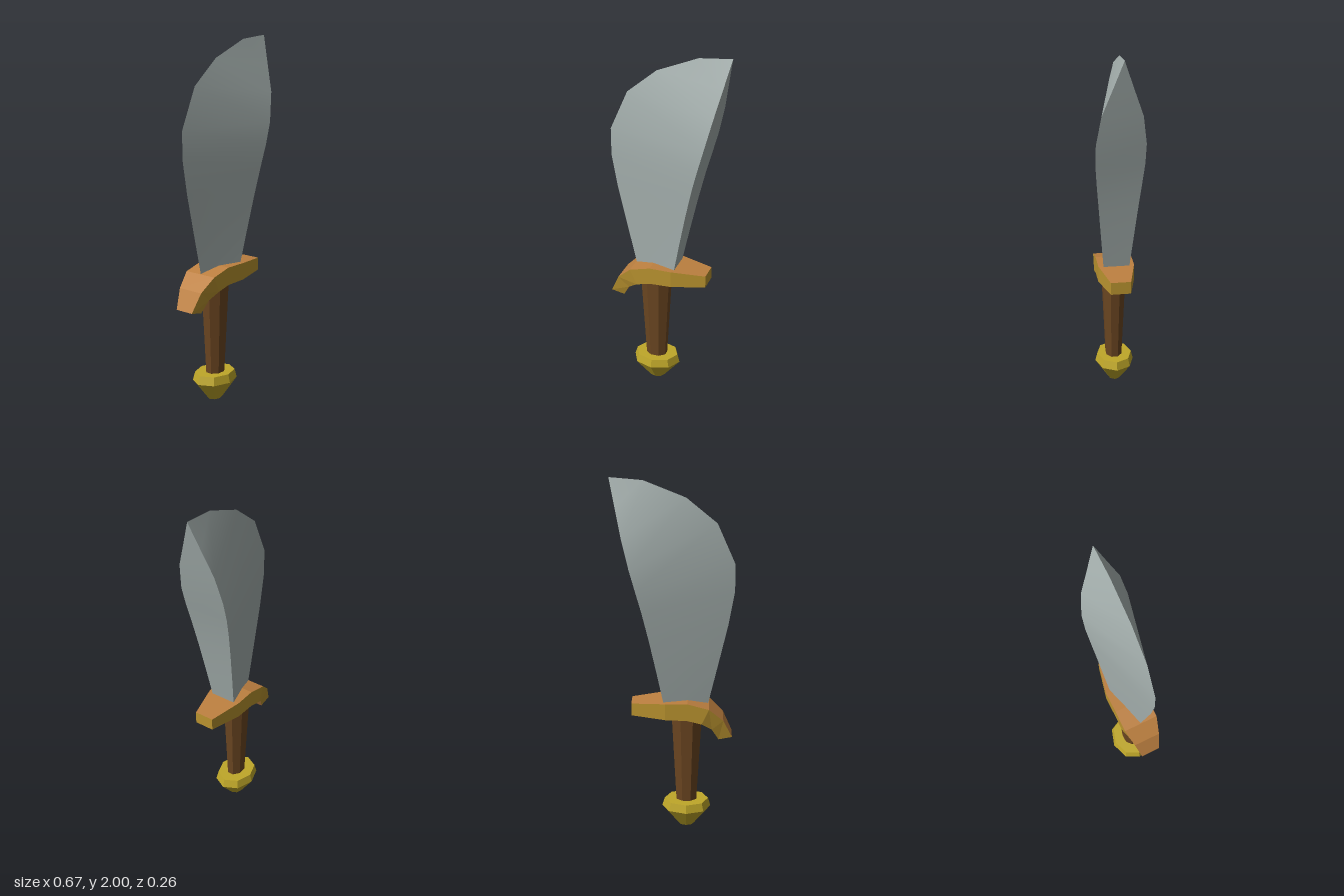
import * as THREE from 'three';
import { toCreasedNormals } from 'three/addons/utils/BufferGeometryUtils.js';

const material = (name, color) => Object.assign(new THREE.MeshStandardMaterial({ color }), { name });

// Skins chosen sides of a row of cross-sections; caps close both ends.
function loft(rings, sides, caps, crease) {
  const pos = [];
  const tri = (...p) => p.forEach((v) => pos.push(...v));
  const n = rings[0].length;
  for (let i = 0; i < rings.length - 1; i++) {
    const a = rings[i], b = rings[i + 1];
    for (const j of sides) {
      const k = (j + 1) % n;
      tri(a[j], a[k], b[k]);
      tri(a[j], b[k], b[j]);
    }
  }
  if (caps) {
    const s = rings[0], e = rings[rings.length - 1];
    for (let j = 1; j < n - 1; j++) {
      tri(s[0], s[j + 1], s[j]);
      tri(e[0], e[j], e[j + 1]);
    }
  }
  const g = new THREE.BufferGeometry();
  g.setAttribute('position', new THREE.Float32BufferAttribute(pos, 3));
  g.computeVertexNormals();
  return crease ? toCreasedNormals(g, crease) : g;
}

export function createModel() {
  const steel = material('steel', 0xa5b0ae);
  const orange = material('orange bronze', 0xbd8040);
  const gold = material('gold', 0xba932f);
  const wood = material('brown wood', 0x6b4621);
  const brass = material('yellow brass', 0xbfa729);

  const model = new THREE.Group();
  model.name = 'curvedSword';
  const add = (name, geometry, mat, parent = model) => {
    const mesh = new THREE.Mesh(geometry, mat);
    mesh.name = name;
    parent.add(mesh);
    return mesh;
  };

  // Blade: cutting edge x, y, then spine x, y and half thickness
  const bladeRows = [
    [-0.19, 0.72, 0.04, 0.72, 0.067],
    [-0.25, 0.98, 0.086, 0.95, 0.088],
    [-0.3, 1.2, 0.126, 1.14, 0.105],
    [-0.333, 1.39, 0.163, 1.3, 0.12],
    [-0.333, 1.54, 0.195, 1.42, 0.13],
    [-0.235, 1.76, 0.228, 1.54, 0.131],
    [-0.07, 1.895, 0.267, 1.7, 0.107],
    [0.155, 1.985, 0.3, 1.85, 0.053],
    [0.333, 2, 0.333, 2, 0],
  ];
  const bladeRings = bladeRows.map(([ex, ey, sx, sy, w]) => [[ex, ey, 0], [sx, sy, w], [sx, sy, -w]]);
  add('blade', loft(bladeRings, [0, 1, 2], true, 0.6), steel);

  // Guard: top x, y, bottom x, y, half depth
  const guardRows = [
    [-0.33, 0.567, -0.255, 0.552, 0.055],
    [-0.28, 0.673, -0.217, 0.62, 0.077],
    [-0.2, 0.747, -0.16, 0.66, 0.1],
    [-0.083, 0.778, -0.08, 0.68, 0.1],
    [0.04, 0.778, 0.04, 0.684, 0.1],
    [0.228, 0.763, 0.228, 0.693, 0.055],
  ];
  const guardRings = guardRows.map(([tx, ty, bx, by, w]) =>
    [[tx, ty, w], [bx, by, w], [bx, by, -w], [tx, ty, -w]]);
  const guard = new THREE.Group();
  guard.name = 'guard';
  model.add(guard);
  add('guardSidesAndEnds', loft(guardRings, [0, 2], true), gold, guard);
  add('guardTopAndBottom', loft(guardRings, [1, 3], false), orange, guard);

  // Grip: tapered octagon with flats facing front and sides
  const grip = new THREE.CylinderGeometry(0.092, 0.06, 0.57, 8, 1).toNonIndexed();
  grip.rotateY(Math.PI / 8);
  grip.scale(1, 1, 0.78);
  grip.translate(-0.078, 0.425, 0);
  grip.computeVertexNormals();
  add('grip', grip, wood);

  // Pommel: faceted knob narrowing to the foot
  const profile = [[0, 0], [0.045, 0.004], [0.138, 0.115], [0.124, 0.162], [0, 0.162]]
    .map(([r, y]) => new THREE.Vector2(r, y));
  const pommel = new THREE.LatheGeometry(profile, 8).toNonIndexed();
  pommel.scale(1, 1, 0.8);
  pommel.translate(-0.078, 0, -0.004);
  pommel.computeVertexNormals();
  add('pommel', pommel, brass);

  return model;
}
